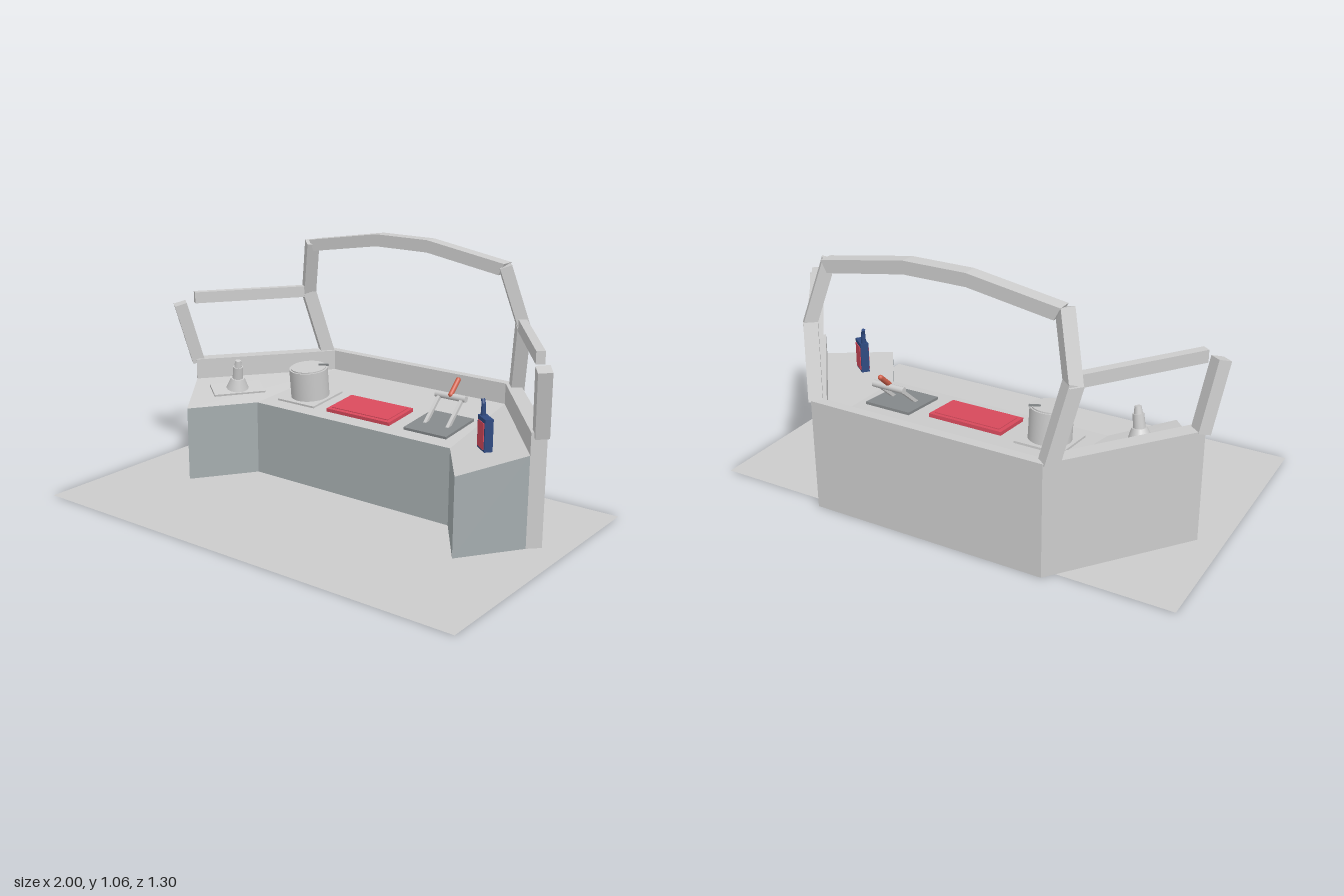
import * as THREE from 'three';

const GREY = 0xcccccc, RED = 0xd84a5c, NAVY = 0x2f4a80, PANEL = 0xa4acae, DARK = 0x85898b;
const mat = (color = GREY) => new THREE.MeshStandardMaterial({ color, side: THREE.DoubleSide });
const V = (x, y, z) => new THREE.Vector3(x, y, z);

function add(parent, name, geo, color, pos = [0, 0, 0]) {
  const m = new THREE.Mesh(geo, mat(color));
  m.name = name;
  m.position.set(...pos);
  parent.add(m);
  return m;
}

// Square bar from a to b, its first side facing along `side`
function beam(parent, name, a, b, w, h, side, color) {
  const z = b.clone().sub(a), len = z.length();
  z.normalize();
  const x = side.clone().addScaledVector(z, -side.dot(z)).normalize();
  const y = z.clone().cross(x);
  const m = add(parent, name, new THREE.BoxGeometry(w, h, len), color);
  m.quaternion.setFromRotationMatrix(new THREE.Matrix4().makeBasis(x, y, z));
  m.position.copy(a).add(b).multiplyScalar(0.5);
  return m;
}

// Ribbon of flat quads between two rows of points
function ribbon(lower, upper) {
  const p = [];
  for (let i = 0; i < lower.length - 1; i++) {
    const a = lower[i], b = lower[i + 1], c = upper[i + 1], d = upper[i];
    for (const v of [a, b, c, a, c, d]) p.push(v.x, v.y, v.z);
  }
  const g = new THREE.BufferGeometry();
  g.setAttribute('position', new THREE.Float32BufferAttribute(p, 3));
  g.computeVertexNormals();
  return g;
}

const extrude = (pts, depth) => new THREE.ExtrudeGeometry(
  new THREE.Shape(pts.map(([x, y]) => new THREE.Vector2(x, y))), { depth, bevelEnabled: false });

// Group lying on the sloped console top
function mount(parent, name, x, y, z, yaw, tilt) {
  const g = new THREE.Group();
  g.name = name;
  g.position.set(x, y, z);
  g.rotation.set(tilt, yaw, 0, 'YXZ');
  parent.add(g);
  return g;
}

export function createModel() {
  const root = new THREE.Group();
  root.name = 'controlCabin';

  // Floor
  const floor = add(root, 'floor', new THREE.PlaneGeometry(2, 1.25), GREY, [0, 0, 0.025]);
  floor.rotation.x = -Math.PI / 2;

  // Wall wrapped round the back and sides (plan drawn as x, -z)
  const plan = [[-0.9, 0.135], [-0.5, 0.645], [0.5, 0.645], [0.9, 0.135],
    [0.855, 0.09], [0.455, 0.605], [-0.455, 0.605], [-0.855, 0.09]];
  const wall = add(root, 'wall', extrude(plan, 0.465), GREY);
  wall.rotation.x = -Math.PI / 2;

  // Console: front panels, end panels and sloped top
  const front = [[-0.68, 0.155], [-0.5, -0.1], [0.5, -0.1], [0.68, 0.155]];
  const back = [[-0.855, -0.09], [-0.455, -0.605], [0.455, -0.605], [0.855, -0.09]];
  const row = (pts, y) => pts.map(([x, z]) => V(x, y, z));
  const ft = row(front, 0.325), bt = row(back, 0.375);
  add(root, 'consoleTop', ribbon(ft, bt), GREY);
  add(root, 'consoleFront', ribbon(
    row([back[0], ...front, back[3]], 0), [bt[0], ...ft, bt[3]]), PANEL);

  // Window frame: mirrored posts and rails
  for (const s of [-1, 1]) {
    const side = V(0.62 * s, 0, 0.787);
    const foot = V(0.505 * s, 0.45, -0.61), knee = V(0.56 * s, 0.745, -0.54);
    beam(root, 'rearLowerPost', foot, knee, 0.06, 0.055, side);
    beam(root, 'rearUpperPost', V(0.563 * s, 0.73, -0.545), V(0.495 * s, 0.99, -0.487), 0.055, 0.05, side);
    beam(root, 'sideRail', V(0.56 * s, 0.75, -0.53), V(0.87 * s, 0.75, -0.105), 0.05, 0.035, V(0, 1, 0));
    beam(root, 'frontPost', V(0.878 * s, 0.45, -0.125), V(0.912 * s, 0.725, -0.055), 0.055, 0.055, side);
  }
  add(root, 'roofArch', extrude([[-0.5, 1], [-0.13, 1.06], [0.13, 1.06], [0.5, 1],
    [0.475, 0.952], [0.13, 1.008], [-0.13, 1.008], [-0.475, 0.952]], 0.06), GREY, [0, 0, -0.53]);

  // Joystick on the right-hand wing
  const stick = mount(root, 'joystick', -0.647, 0.355, -0.133, 0.956, 0.2);
  add(stick, 'joystickPlate', new THREE.BoxGeometry(0.23, 0.012, 0.11), 0xdedede);
  add(stick, 'joystickBase', new THREE.CylinderGeometry(0.03, 0.05, 0.05, 16), GREY, [0, 0.03, 0]);
  add(stick, 'joystickShaft', new THREE.CylinderGeometry(0.022, 0.024, 0.06, 12), GREY, [0, 0.08, 0]);
  add(stick, 'joystickGrip', new THREE.CylinderGeometry(0.013, 0.018, 0.035, 12), GREY, [0, 0.122, 0]);

  // Tank on its plate
  const tank = mount(root, 'tank', -0.335, 0.343, -0.27, 0, 0.1);
  add(tank, 'tankPlate', new THREE.BoxGeometry(0.2, 0.015, 0.21), 0xdedede);
  add(tank, 'tankBody', new THREE.CylinderGeometry(0.085, 0.085, 0.13, 32), GREY, [0, 0.07, 0]);
  add(tank, 'tankRim', new THREE.CylinderGeometry(0.078, 0.078, 0.01, 32), GREY, [0, 0.135, 0]);
  const needle = add(tank, 'tankPointer', new THREE.BoxGeometry(0.045, 0.008, 0.006), DARK, [0.05, 0.143, -0.045]);
  needle.rotation.y = 0.5;

  // Screen
  const screen = mount(root, 'screen', 0, 0.343, -0.255, 0, 0.1);
  add(screen, 'screenPanel', new THREE.BoxGeometry(0.325, 0.025, 0.18), RED);
  add(screen, 'screenFace', new THREE.BoxGeometry(0.29, 0.006, 0.145), RED, [0, 0.013, 0]);

  // Throttle: plate, two struts, crossbar and lever
  const plate = mount(root, 'throttlePlate', 0.338, 0.343, -0.272, 0, 0.1);
  add(plate, 'plate', new THREE.BoxGeometry(0.205, 0.02, 0.215), DARK);
  for (const x of [0.285, 0.393])
    beam(root, 'throttleStrut', V(x, 0.345, -0.25), V(x, 0.44, -0.355), 0.014, 0.014, V(1, 0, 0));
  const bar = add(root, 'throttleBar', new THREE.CylinderGeometry(0.014, 0.014, 0.145, 12), GREY, [0.338, 0.445, -0.36]);
  bar.rotation.z = Math.PI / 2;
  const lever = add(root, 'throttleLever', new THREE.CapsuleGeometry(0.011, 0.075, 4, 12), 0xd0604a, [0.34, 0.48, -0.382]);
  lever.rotation.x = -0.82;

  // Handheld radio
  const radio = mount(root, 'radio', 0.652, 0.35, -0.105, -0.67, 0);
  add(radio, 'radioBody', new THREE.BoxGeometry(0.078, 0.13, 0.034), NAVY, [0, 0.068, 0]);
  for (const s of [-1, 1])
    add(radio, 'radioFace', new THREE.BoxGeometry(0.062, 0.105, 0.006), RED, [0, 0.064, 0.017 * s]);
  add(radio, 'radioAntenna', new THREE.CylinderGeometry(0.009, 0.011, 0.05, 10), NAVY, [-0.026, 0.155, 0]);
  const tip = add(radio, 'radioAntennaTip', new THREE.CylinderGeometry(0.008, 0.009, 0.025, 10), NAVY, [-0.03, 0.184, 0]);
  tip.rotation.z = 0.4;

  return root;
}
